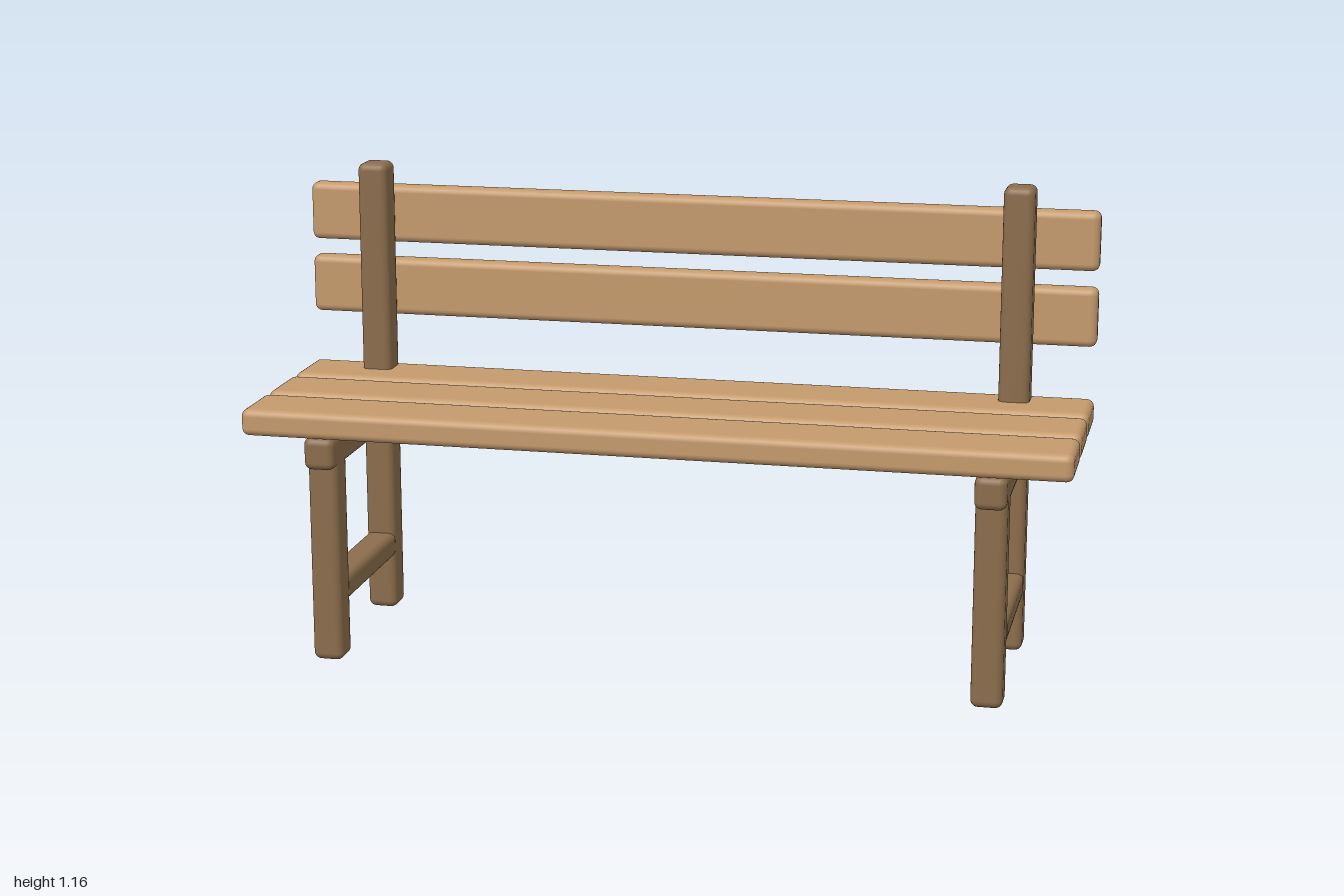
import * as THREE from 'three';
import { RoundedBoxGeometry } from 'three/addons/geometries/RoundedBoxGeometry.js';

const plankWood = new THREE.MeshStandardMaterial({ color: 0xc49a6c });
const frameWood = new THREE.MeshStandardMaterial({ color: 0x8b6d4c });

// Rounded beam given by its centre x, width, and its y and z extents
function beam(name, material, x, width, [y0, y1], [z0, z1], radius = 0.018) {
  const geometry = new RoundedBoxGeometry(width, y1 - y0, z1 - z0, 3, radius);
  const mesh = new THREE.Mesh(geometry, material);
  mesh.position.set(x, (y0 + y1) / 2, (z0 + z1) / 2);
  mesh.name = name;
  return mesh;
}

export function createModel() {
  const bench = new THREE.Group();
  bench.name = 'bench';

  // Side frames: legs, seat support and stretcher
  for (const [side, sign] of [['left', 1], ['right', -1]]) {
    const frame = new THREE.Group();
    frame.name = side + 'Frame';
    const add = (name, y, z) => frame.add(beam(name, frameWood, sign * 0.81, 0.076, y, z));
    add('frontLeg', [0, 0.57], [0.185, 0.264]);
    add('backPost', [0, 1.163], [-0.25, -0.17]);
    add('seatSupport', [0.49, 0.57], [-0.19, 0.291]);
    add('stretcher', [0.138, 0.202], [-0.19, 0.202]);
    bench.add(frame);
  }

  // Seat planks
  for (const z of [0.217, 0.022, -0.174]) {
    bench.add(beam('seatPlank', plankWood, 0, 2, [0.57, 0.636], [z - 0.087, z + 0.087]));
  }

  // Backrest slats, fixed behind the posts
  for (const y of [0.835, 1.023]) {
    bench.add(beam('backSlat', plankWood, 0, 2, [y - 0.073, y + 0.073], [-0.303, -0.25]));
  }

  return bench;
}
